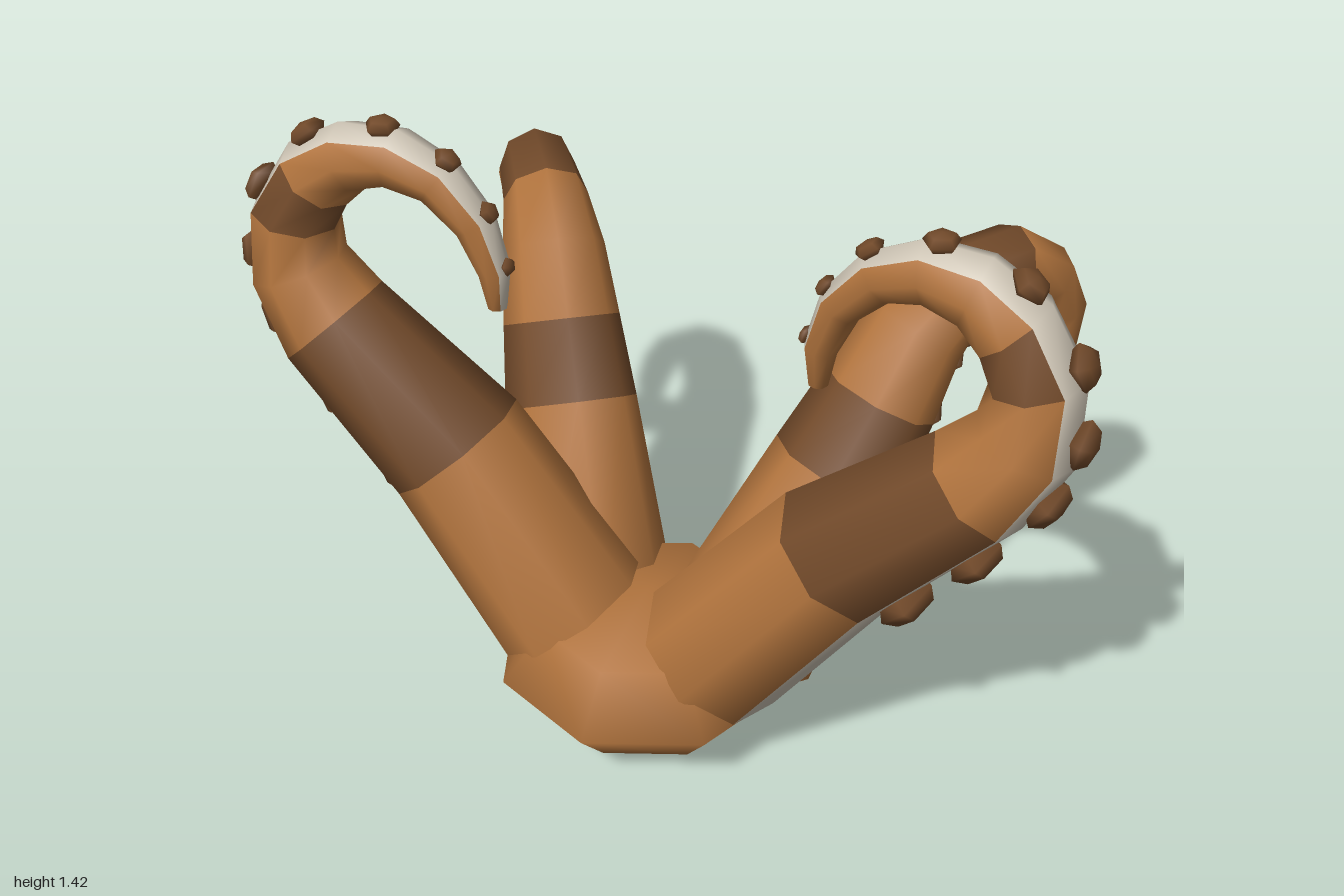
import * as THREE from 'three';

const mat = (name, color) => {
  const m = new THREE.MeshStandardMaterial({ color });
  m.name = name;
  return m;
};

const SIDES = 8;
const UP = new THREE.Vector3(0, 1, 0);

// Each ring: [distance outward, height, sideways drift in z, radius]
const FRONT = [
  [0.18, 0.26, 0.28, 0.19], [0.47, 0.64, 0.275, 0.17], [0.76, 0.92, 0.29, 0.135],
  [0.845, 1.04, 0.28, 0.112], [0.85, 1.165, 0.262, 0.1], [0.79, 1.265, 0.248, 0.092],
  [0.705, 1.32, 0.235, 0.08], [0.6, 1.33, 0.222, 0.069], [0.5, 1.29, 0.212, 0.058],
  [0.42, 1.2, 0.207, 0.048], [0.382, 1.09, 0.205, 0.037], [0.38, 1.0, 0.205, 0.022],
];
const REAR = [
  [0, 0.2, 0, 0.19], [0.26, 0.6, 0, 0.155], [0.37, 0.77, 0, 0.137],
  [0.457, 0.92, 0, 0.12], [0.568, 1.005, 0, 0.1], [0.716, 1.02, 0, 0.09],
  [0.815, 0.955, 0, 0.083], [0.872, 0.86, 0, 0.07], [0.872, 0.76, 0, 0.058],
  [0.815, 0.67, 0, 0.048], [0.716, 0.6, 0, 0.025],
];

// Octagonal curled arm; ring angle 0 points to the underside
function makeArm(name, rings, origin, heading, darkSegments, suckerSpots, mats) {
  const arm = new THREE.Group();
  arm.name = name;
  const side = new THREE.Vector3().crossVectors(heading, UP);
  const last = rings.length - 1;

  const frames = rings.map(([h, y, z, r], i) => {
    const a = rings[Math.max(i - 1, 0)], b = rings[Math.min(i + 1, last)];
    const t = new THREE.Vector2(b[0] - a[0], b[1] - a[1]).normalize();
    const center = origin.clone().addScaledVector(heading, h);
    center.y += y;
    center.z += z;
    const normal = heading.clone().multiplyScalar(t.y).addScaledVector(UP, -t.x);
    return { center, normal, r };
  });

  const pos = [];
  const push = (v) => pos.push(v.x, v.y, v.z) / 3 - 1;
  const pushRing = ({ center, normal, r }) => {
    for (let j = 0; j < SIDES; j++) {
      const a = (j / SIDES) * Math.PI * 2;
      push(center.clone().addScaledVector(normal, r * Math.cos(a))
        .addScaledVector(side, r * 1.04 * Math.sin(a)));
    }
  };
  frames.forEach(pushRing);
  const tip = push(frames[last].center);
  const capStart = tip + 1;
  pushRing(frames[0]);
  const capCenter = push(frames[0].center);

  // Faces sorted by colour: 0 skin, 1 band, 2 underside
  const faces = [[], [], []];
  for (let i = 0; i < last; i++) {
    for (let j = 0; j < SIDES; j++) {
      const k = (j + 1) % SIDES;
      const a = i * SIDES + j, b = i * SIDES + k, c = a + SIDES, d = b + SIDES;
      const under = j === 0 || j === SIDES - 1;
      faces[under ? 2 : darkSegments.includes(i) ? 1 : 0].push(a, c, b, b, c, d);
    }
  }
  for (let j = 0; j < SIDES; j++) {
    const k = (j + 1) % SIDES;
    faces[0].push(last * SIDES + j, tip, last * SIDES + k);
    faces[0].push(capStart + j, capStart + k, capCenter);
  }
  const geo = new THREE.BufferGeometry();
  geo.setAttribute('position', new THREE.Float32BufferAttribute(pos, 3));
  geo.setIndex(faces.flat());
  let start = 0;
  faces.forEach((f, m) => {
    geo.addGroup(start, f.length, m);
    start += f.length;
  });
  geo.computeVertexNormals();
  const skin = new THREE.Mesh(geo, [mats.skin, mats.band, mats.under]);
  skin.name = 'armSkin';
  arm.add(skin);

  // Five-sided suckers along the underside ridge
  const suckerGeo = new THREE.SphereGeometry(1, 5, 4);
  suckerSpots.forEach((u, n) => {
    const i = Math.min(Math.floor(u), last - 1), f = u - i;
    const A = frames[i], B = frames[i + 1];
    const normal = A.normal.clone().lerp(B.normal, f).normalize();
    const onRidge = (F) => F.center.clone().addScaledVector(F.normal, F.r);
    const s = 0.076 - 0.006 * n;
    const sucker = new THREE.Mesh(suckerGeo, mats.band);
    sucker.name = 'sucker';
    sucker.position.copy(onRidge(A).lerp(onRidge(B), f)).addScaledVector(normal, s * 0.1);
    sucker.quaternion.setFromUnitVectors(UP, normal);
    sucker.scale.set(s, s * 0.55, s);
    arm.add(sucker);
  });
  return arm;
}

export function createModel() {
  const model = new THREE.Group();
  model.name = 'tentacles';
  const mats = {
    skin: mat('copper brown', 0xb0733d),
    band: mat('dark brown', 0x724a2a),
    under: mat('pale cream', 0xcfc6b6),
  };

  // Flattened body joining the arms
  const body = new THREE.Mesh(new THREE.SphereGeometry(0.36, 8, 4), mats.skin);
  body.name = 'body';
  body.scale.y = 0.49;
  body.position.set(0, 0.18, 0.25);
  model.add(body);

  // Two pairs of arms, mirrored left and right
  for (const [s, label] of [[1, 'Left'], [-1, 'Right']]) {
    model.add(makeArm('frontArm' + label, FRONT, new THREE.Vector3(),
      new THREE.Vector3(s, 0, 0), [1, 4],
      [1.1, 1.65, 2.45, 3.3, 4.2, 5.4, 6.75, 7.9, 8.9, 9.9], mats));
    model.add(makeArm('rearArm' + label, REAR, new THREE.Vector3(0.19 * s, 0, 0.16),
      new THREE.Vector3(0.59 * s, 0, -0.81).normalize(), [1, 4],
      [0.95, 2.0, 2.9, 3.5, 4.2, 5.1, 6.1, 7.1, 8, 8.8], mats));
  }
  return model;
}
